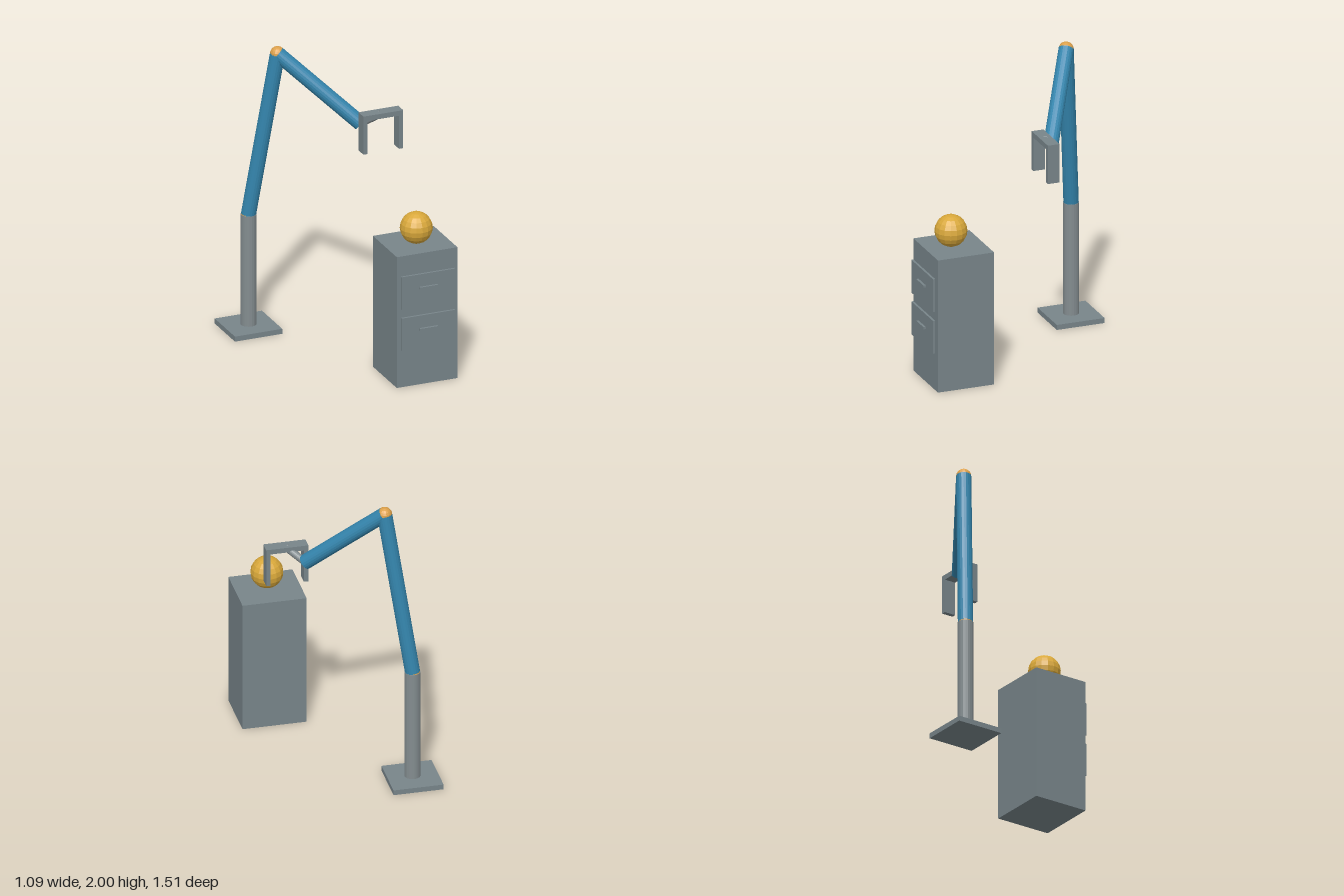
import * as THREE from 'three';

const mat = (name, color, flatShading = false) => {
  const m = new THREE.MeshStandardMaterial({ color, flatShading });
  m.name = name;
  return m;
};

export function createModel() {
  const model = new THREE.Group();
  model.name = 'robotArmStation';
  const grey = mat('steel grey', 0x78858a, true);
  const pipeGrey = mat('pipe grey', 0x838c8f, true);
  const blue = mat('arm blue', 0x3485ad, true);
  const orange = mat('joint orange', 0xdca04a, true);
  const gold = mat('ball gold', 0xd9a83a, true);

  const add = (parent, name, geometry, material) => {
    const mesh = new THREE.Mesh(geometry, material);
    mesh.name = name;
    parent.add(mesh);
    return mesh;
  };
  // Box given by its lower and upper corners
  const box = (parent, name, a, b, material = grey) => {
    const size = b.map((v, i) => v - a[i]);
    const mesh = add(parent, name, new THREE.BoxGeometry(...size), material);
    mesh.position.set(...a.map((v, i) => (v + b[i]) / 2));
    return mesh;
  };
  // Cylinder running between two points
  const rod = (parent, name, a, b, radius, material) => {
    const dir = b.clone().sub(a);
    const mesh = add(parent, name, new THREE.CylinderGeometry(radius, radius, dir.length(), 20), material);
    mesh.position.copy(a).add(b).multiplyScalar(0.5);
    mesh.quaternion.setFromUnitVectors(new THREE.Vector3(0, 1, 0), dir.normalize());
    return mesh;
  };
  const ball = (parent, name, centre, radius, material) => {
    const mesh = add(parent, name, new THREE.SphereGeometry(radius, 16, 10), material);
    mesh.position.copy(centre);
    return mesh;
  };

  // Joint positions of the arm
  const foot = new THREE.Vector3(-0.377, 0.035, -0.587);
  const shoulder = new THREE.Vector3(-0.377, 0.81, -0.587);
  const elbow = new THREE.Vector3(-0.215, 1.95, -0.487);
  const wrist = new THREE.Vector3(0.247, 1.495, -0.195);
  const grip = new THREE.Vector3(0.356, 1.576, -0.112);

  const arm = new THREE.Group();
  arm.name = 'robotArm';
  model.add(arm);
  box(arm, 'basePlate', [-0.545, 0, -0.755], [-0.21, 0.035, -0.42]);
  rod(arm, 'column', foot, shoulder, 0.053, pipeGrey);
  ball(arm, 'shoulderJoint', shoulder, 0.05, orange);
  rod(arm, 'upperArm', shoulder, elbow, 0.05, blue);
  ball(arm, 'elbowJoint', elbow, 0.05, orange);
  rod(arm, 'forearm', elbow, wrist, 0.05, blue);
  rod(arm, 'wristRod', wrist, grip, 0.025, pipeGrey);

  // Gripper: a bar with a finger at each end
  const gripper = new THREE.Group();
  gripper.name = 'gripper';
  arm.add(gripper);
  box(gripper, 'gripperBar', [0.215, 1.558, -0.155], [0.497, 1.593, -0.073]);
  for (const x of [0.215, 0.467]) {
    box(gripper, 'gripperFinger', [x, 1.325, -0.155], [x + 0.03, 1.558, -0.073]);
  }

  // Cabinet with two drawers
  const cabinet = new THREE.Group();
  cabinet.name = 'cabinet';
  model.add(cabinet);
  box(cabinet, 'cabinetBody', [0.112, 0, 0.322], [0.541, 0.922, 0.715]);
  for (const y of [0.265, 0.556]) {
    box(cabinet, 'drawerFront', [0.137, y, 0.724], [0.515, y + 0.229, 0.739]);
    box(cabinet, 'drawerHandle', [0.26, y + 0.127, 0.737], [0.388, y + 0.142, 0.755]);
  }

  // Ball resting on the cabinet
  ball(model, 'ball', new THREE.Vector3(0.326, 1.03, 0.538), 0.108, gold);
  return model;
}
